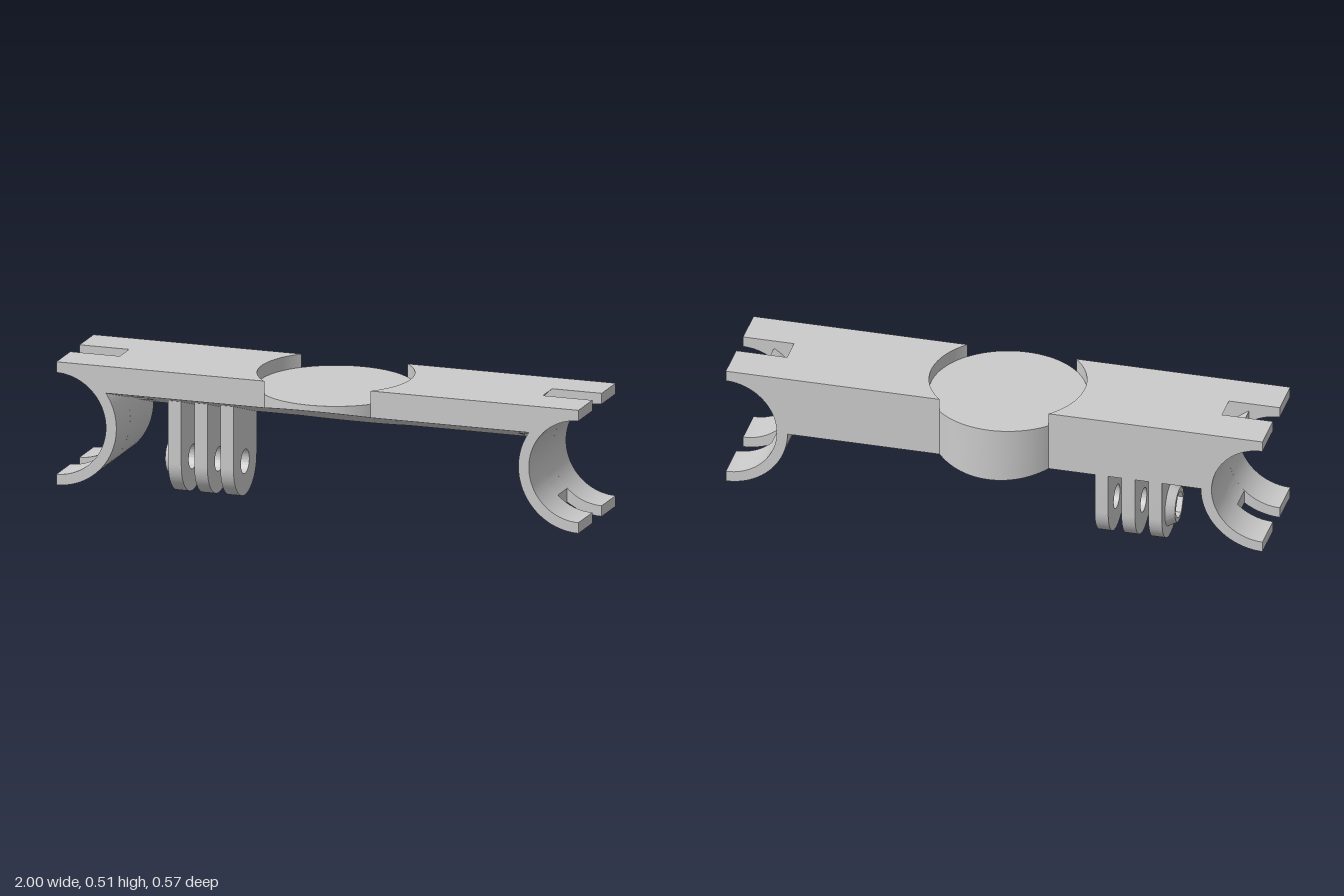
import * as THREE from 'three';
import { toCreasedNormals } from 'three/addons/utils/BufferGeometryUtils.js';

const material = new THREE.MeshStandardMaterial({ color: 0xcccccc });
const TOP = 0.51, DISC_R = 0.285, DISC_TOP = 0.46;
const CLAMP_Y = 0.28, CLAMP_IN = 0.19, CLAMP_OUT = 0.23; // clamp axis runs along z at x = +-1
const STRAP_R = 0.298, SLOT = 0.05;

// Sloping underside shared by the bar and the disc
const underside = (z) => 0.345 + 0.325 * z;

function moveVertices(geometry, rule) {
  const p = geometry.attributes.position, v = new THREE.Vector3();
  for (let i = 0; i < p.count; i++) {
    v.fromBufferAttribute(p, i);
    rule(v);
    p.setXYZ(i, v.x, v.y, v.z);
  }
  return geometry;
}

// Mirror in x and swap two corners of each triangle so faces still point outward
function mirrorX(geometry) {
  const g = geometry.clone(), a = g.attributes.position.array;
  for (let i = 0; i < a.length; i += 9) {
    for (let k = 0; k < 3; k++) [a[i + k], a[i + 6 + k]] = [a[i + 6 + k], a[i + k]];
    for (let k = 0; k < 9; k += 3) a[i + k] *= -1;
  }
  return g;
}

function mesh(name, geometry) {
  const g = geometry.index ? geometry.toNonIndexed() : geometry;
  const m = new THREE.Mesh(toCreasedNormals(g, 0.5), material);
  m.name = name;
  return m;
}

function extrudeZ(points, z0, z1, steps = 1) {
  const g = new THREE.ExtrudeGeometry(new THREE.Shape(points), { depth: z1 - z0, steps, bevelEnabled: false });
  return g.translate(0, 0, z0);
}

// Points on the clamp circle; angle is elevation above the clamp axis, facing the model's middle
const onClamp = (r, angle) => new THREE.Vector2(1 - r * Math.cos(angle), CLAMP_Y + r * Math.sin(angle));
function clampArc(r, from, to, n = 40) {
  return Array.from({ length: n + 1 }, (_, i) => onClamp(r, from + (to - from) * i / n));
}

// Half of the bar between the disc and the circle of radius r around the clamp axis
function barLayer(r, z0, z1) {
  const top = Math.asin(Math.min(1, (TOP - CLAMP_Y) / r));
  const endAt = (z) => Math.asin((underside(z) - CLAMP_Y) / r);
  const end = endAt(0);
  const points = [new THREE.Vector2(0.2, underside(0)), ...clampArc(r, end, top, 24)];
  if (r < CLAMP_OUT) points.push(new THREE.Vector2(1, TOP));
  points.push(new THREE.Vector2(0.2, TOP));
  return moveVertices(extrudeZ(points, z0, z1, 16), (v) => {
    if (v.x < 0.21) {
      v.x = Math.sqrt(DISC_R ** 2 - v.z ** 2);
      if (v.y < 0.4) v.y = underside(v.z);
    } else if (Math.abs(Math.hypot(1 - v.x, v.y - CLAMP_Y) - r) < 0.001) {
      const angle = Math.atan2(v.y - CLAMP_Y, 1 - v.x);
      const p = onClamp(r, top + (angle - top) * (endAt(v.z) - top) / (end - top));
      v.x = p.x;
      v.y = p.y;
    }
  });
}

// Curved clamp wall; the ends are cut upright at the given x
function clampLayer(xTop, xBottom, z0, z1) {
  const arc = (r, flip) => {
    const a = -Math.acos((1 - xBottom) / r), b = Math.acos((1 - xTop) / r);
    return flip ? clampArc(r, b, a) : clampArc(r, a, b);
  };
  return extrudeZ([...arc(CLAMP_OUT), ...arc(CLAMP_IN, true)], z0, z1);
}

// Mounting prong with a rounded foot and a bolt hole, sketched in (-z, y)
function prong() {
  const s = new THREE.Shape();
  s.moveTo(-0.05, underside(0.05) + 0.004);
  s.lineTo(-0.05, 0.125);
  s.absarc(0.075, 0.125, 0.125, Math.PI, Math.PI * 2, false);
  s.lineTo(0.2, underside(-0.2) + 0.004);
  const hole = new THREE.Path();
  hole.absarc(0.075, 0.125, 0.045, 0, Math.PI * 2, true);
  s.holes.push(hole);
  return new THREE.ExtrudeGeometry(s, { depth: 0.05, bevelEnabled: false, curveSegments: 40 }).rotateY(Math.PI / 2);
}

// Tapered collar with a six-sided nut pocket
function nutCollar() {
  const s = new THREE.Shape();
  s.absarc(0, 0, 0.083, 0, Math.PI * 2, false);
  const hex = Array.from({ length: 6 }, (_, i) =>
    new THREE.Vector2(0.056 * Math.cos(-i * Math.PI / 3), 0.056 * Math.sin(-i * Math.PI / 3)));
  s.holes.push(new THREE.Path(hex));
  const g = new THREE.ExtrudeGeometry(s, { depth: 0.034, bevelEnabled: false, curveSegments: 32 });
  moveVertices(g, (v) => {
    if (v.z < 0.01 && Math.hypot(v.x, v.y) > 0.07) {
      v.x *= 0.78;
      v.y *= 0.78;
    }
  });
  return g.rotateY(Math.PI / 2).translate(-0.658, 0.125, -0.075);
}

export function createModel() {
  const model = new THREE.Group();
  model.name = 'clampBracket';

  // Central disc, cut to the sloping underside
  const disc = new THREE.CylinderGeometry(DISC_R, DISC_R, 1, 96);
  moveVertices(disc, (v) => { v.y = v.y > 0 ? DISC_TOP : underside(v.z); });
  model.add(mesh('centreDisc', disc));

  // Bar and clamp in three layers; the middle one leaves the strap channel open
  const parts = [
    ['barBack', barLayer(0.21, -0.2, -SLOT)],
    ['barMiddle', barLayer(STRAP_R, -SLOT, SLOT)],
    ['barFront', barLayer(0.21, SLOT, 0.2)],
    ['clampBack', clampLayer(1, 1, -0.2, -SLOT)],
    ['clampMiddle', clampLayer(0.885, 0.868, -SLOT, SLOT)],
    ['clampFront', clampLayer(1, 1, SLOT, 0.2)],
  ];
  for (const side of ['left', 'right']) {
    const half = new THREE.Group();
    half.name = side + 'Arm';
    for (const [name, g] of parts) half.add(mesh(name, side === 'left' ? g : mirrorX(g)));
    model.add(half);
  }

  // Accessory mount under the right arm
  const mount = new THREE.Group();
  mount.name = 'accessoryMount';
  for (const x of [-0.625, -0.525, -0.425]) mount.add(mesh('prong', prong().translate(x, 0, 0)));
  mount.add(mesh('nutCollar', nutCollar()));
  model.add(mount);
  return model;
}
